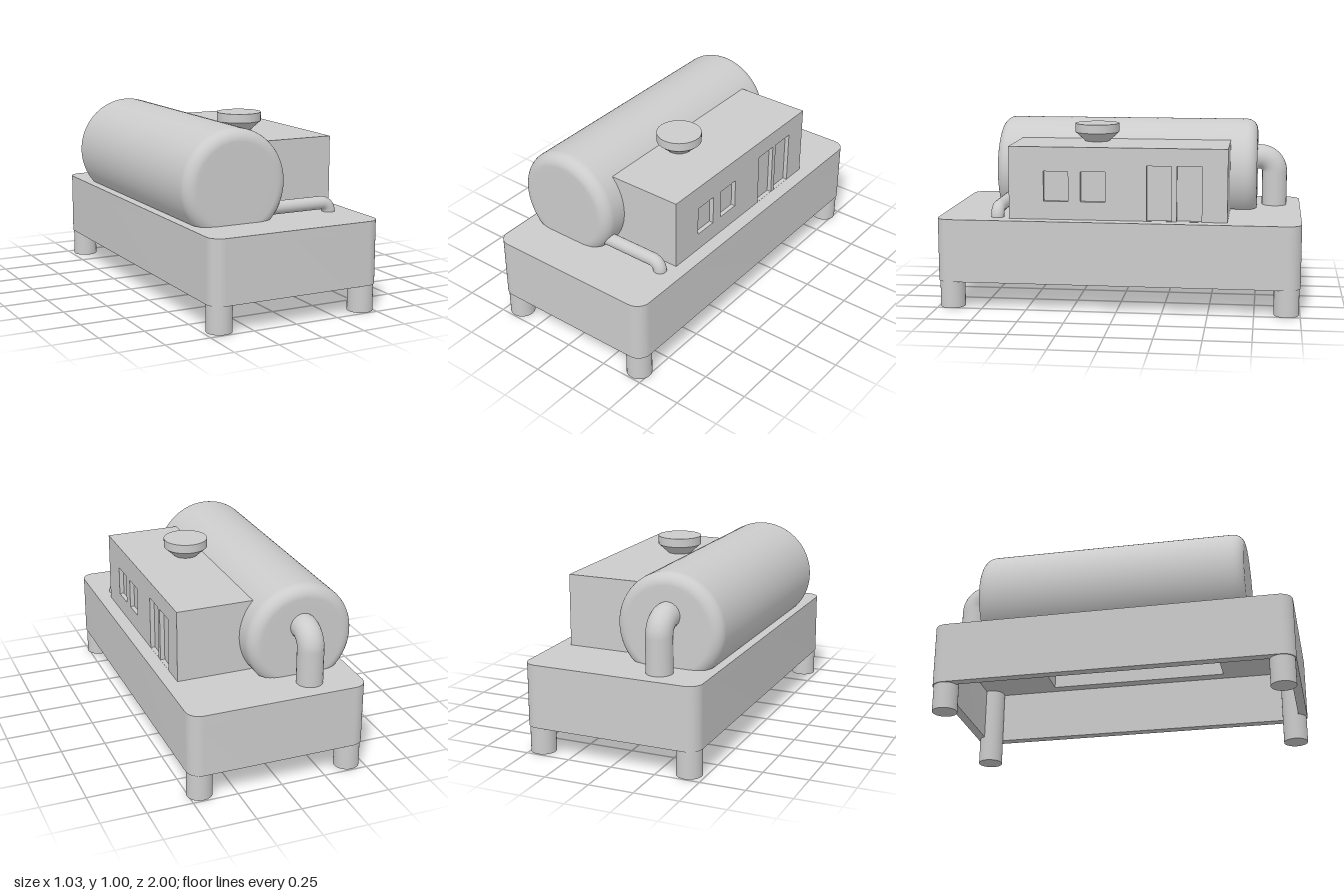
import * as THREE from 'three';
import { toCreasedNormals } from 'three/addons/utils/BufferGeometryUtils.js';

const grey = new THREE.MeshStandardMaterial({ color: 0xcccccc });
const greyThin = new THREE.MeshStandardMaterial({ color: 0xcccccc, side: THREE.DoubleSide });

const DECK = 0.5, CEILING = 0.45, SKIRT = 0.15;
const house = { x0: 0.01, x1: 0.437, z: 0.6, top: 0.9 };
const tank = { x: -0.213, y: 0.7, r: 0.3, fillet: 0.065, half: 0.75 };
const shaft = { x0: -0.434, x1: 0.397, z: 0.52, top: 0.85, bore: 0.22, boreEnd: 0.7 };

function add(parent, name, geometry, x = 0, y = 0, z = 0, material = grey) {
  const mesh = new THREE.Mesh(geometry, material);
  mesh.name = name;
  mesh.position.set(x, y, z);
  parent.add(mesh);
  return mesh;
}

const points2 = (list) => list.map(([a, b]) => new THREE.Vector2(a, b));

function roundedRect(x0, x1, z, r, Kind) {
  const s = new Kind();
  s.absarc(x1 - r, z - r, r, 0, Math.PI / 2);
  s.absarc(x0 + r, z - r, r, Math.PI / 2, Math.PI);
  s.absarc(x0 + r, -z + r, r, Math.PI, Math.PI * 1.5);
  s.absarc(x1 - r, -z + r, r, Math.PI * 1.5, Math.PI * 2);
  s.closePath();
  return s;
}

// Upright prism from a plan outline
function prism(shape, height) {
  const g = new THREE.ExtrudeGeometry(shape, { depth: height, bevelEnabled: false, curveSegments: 10 });
  g.rotateX(-Math.PI / 2);
  return toCreasedNormals(g, 0.6);
}

// Horizontal tank, trimmed at deck level and where it opens into the house
function tankGeometry() {
  const { r, fillet: f, half } = tank, end = [];
  for (let i = 0; i < 6; i++) end.push([(r - f) * i / 6, half]);
  for (let i = 0; i <= 8; i++) {
    const a = Math.PI / 2 * (1 - i / 8);
    end.push([r - f + f * Math.cos(a), half - f + f * Math.sin(a)]);
  }
  end.push([r, house.z]);
  const profile = points2([...end.map(([a, b]) => [a, -b]), ...end.reverse()]);
  const g = new THREE.LatheGeometry(profile, 96);
  g.rotateX(Math.PI / 2);
  g.translate(tank.x, tank.y, 0);

  const p = g.attributes.position, kept = [], idx = g.index.array;
  for (let i = 0; i < idx.length; i += 3) {
    const t = [idx[i], idx[i + 1], idx[i + 2]];
    const mean = (axis) => t.reduce((sum, v) => sum + p.getComponent(v, axis), 0) / 3;
    const below = t.every((v) => p.getY(v) <= DECK);
    const inHouse = mean(0) > house.x0 - 0.01 && mean(1) < house.top && Math.abs(mean(2)) < house.z;
    if (!below && !inHouse) kept.push(...t);
  }
  for (let i = 0; i < p.count; i++) p.setY(i, Math.max(p.getY(i), DECK));
  g.setIndex(kept);
  return g;
}

// Pipe with a single bend between two straight runs
function pipe(a, corner, b, bend, radius) {
  const [p, c, q] = [a, corner, b].map((v) => new THREE.Vector3(...v));
  const towards = (to) => c.clone().add(to.clone().sub(c).setLength(bend));
  const path = new THREE.CurvePath();
  const s = towards(p), e = towards(q), k = 0.55;
  path.add(new THREE.LineCurve3(p, s));
  path.add(new THREE.CubicBezierCurve3(s, s.clone().lerp(c, k), e.clone().lerp(c, k), e));
  path.add(new THREE.LineCurve3(e, q));
  return new THREE.TubeGeometry(path, 64, radius, 24);
}

function buildBase(root) {
  const base = new THREE.Group();
  base.name = 'base';
  root.add(base);

  // Skirt wall, open underneath
  const wall = roundedRect(-0.487, 0.513, 1, 0.075, THREE.Shape);
  wall.holes.push(roundedRect(shaft.x0, 0.46, 0.95, 0.025, THREE.Path));
  add(base, 'skirt', prism(wall, CEILING - SKIRT), 0, SKIRT, 0);

  // Deck with a rectangular opening up into the tank and house
  const deck = roundedRect(-0.487, 0.513, 1, 0.075, THREE.Shape);
  const { x0, x1, z } = shaft;
  deck.holes.push(new THREE.Path(points2([[x0, -z], [x0, z], [x1, z], [x1, -z]])));
  add(base, 'deck', prism(deck, DECK - CEILING), 0, CEILING, 0);

  const legHeight = CEILING + 0.01;
  for (const x of [-0.413, 0.439]) {
    for (const z of [-0.925, 0.925]) {
      add(base, 'leg', new THREE.CylinderGeometry(0.069, 0.069, legHeight, 32), x, legHeight / 2, z);
    }
  }
}

// Hollow interior seen from underneath: a box crossed by the round tank bore
function buildInterior(root) {
  const g = new THREE.Group();
  g.name = 'interior';
  root.add(g);
  const { x0, x1, z, top, bore, boreEnd } = shaft;
  const rise = top - tank.y - 0.002, a = Math.asin(rise / bore), halfGap = Math.sqrt(bore * bore - rise * rise);

  const end = new THREE.Shape(points2([[x0, DECK], [x1, DECK], [x1, top], [x0, top]]));
  const hole = new THREE.Path();
  hole.absarc(tank.x, tank.y, bore, Math.PI - a, Math.PI * 2 + a);
  hole.closePath();
  end.holes.push(hole);
  const depth = boreEnd - z;
  for (const s of [-1, 1]) {
    add(g, 'interiorEndWall', new THREE.ShapeGeometry(end, 48), 0, 0, s * z, greyThin);
    const tube = new THREE.CylinderGeometry(bore, bore, depth, 64, 1, true).rotateX(Math.PI / 2);
    add(g, 'tankBore', tube, tank.x, tank.y, s * (z + depth / 2), greyThin);
    add(g, 'tankBoreEnd', new THREE.CircleGeometry(bore, 64), tank.x, tank.y, s * boreEnd, greyThin);
  }

  // Top of the bore between the end walls
  const arc = Math.PI / 2 - a;
  const crown = new THREE.CylinderGeometry(bore, bore, 2 * z, 24, 1, true, Math.PI - arc, 2 * arc);
  add(g, 'tankBoreCrown', crown.rotateX(Math.PI / 2), tank.x, tank.y, 0, greyThin);

  const side = new THREE.PlaneGeometry(2 * z, top - DECK).rotateY(Math.PI / 2);
  add(g, 'interiorSideWall', side, x0, (DECK + top) / 2, 0);
  for (const [l, r] of [[x0, tank.x - halfGap], [tank.x + halfGap, x1]]) {
    const ceiling = new THREE.PlaneGeometry(r - l, 2 * z).rotateX(Math.PI / 2);
    add(g, 'interiorCeiling', ceiling, (l + r) / 2, top, 0);
  }
}

function buildHouse(root) {
  const g = new THREE.Group();
  g.name = 'house';
  root.add(g);
  const { x0, x1, z, top } = house, t = 0.025;
  const width = x1 - x0, height = top - DECK, midX = (x0 + x1) / 2, midY = (DECK + top) / 2;

  for (const s of [-1, 1]) {
    add(g, 'endWall', new THREE.BoxGeometry(width - t, height, t), midX - t / 2, midY, s * (z - t / 2));
  }
  add(g, 'roof', new THREE.BoxGeometry(width - t, t, 2 * z - 2 * t), midX - t / 2, top - t / 2, 0);

  // Side wall with two windows and two doors; the outline runs along -z
  const wall = new THREE.Shape(points2([[-z, DECK], [z, DECK], [z, top], [-z, top]]));
  const w = 0.068;
  const openings = [[-0.339, 0.6, 0.766], [-0.135, 0.6, 0.766], [0.228, 0.501, 0.803], [0.393, 0.501, 0.803]];
  for (const [c, low, high] of openings) {
    wall.holes.push(new THREE.Path(points2([[c - w, low], [c - w, high], [c + w, high], [c + w, low]])));
  }
  const side = new THREE.ExtrudeGeometry(wall, { depth: t, bevelEnabled: false });
  side.rotateY(Math.PI / 2);
  add(g, 'sideWall', side, x1 - t, 0, 0);
  const panel = x1 - t - shaft.x1;
  add(g, 'windowAndDoorPanel', new THREE.BoxGeometry(panel, height - t, 2 * z - 2 * t),
    shaft.x1 + panel / 2, midY - t / 2, 0);

  // Roof vent
  const vent = points2([[0, 0.89], [0.068, 0.89], [0.068, 0.9], [0.124, 0.951], [0.124, 1], [0, 1]]);
  add(g, 'roofVent', toCreasedNormals(new THREE.LatheGeometry(vent, 48), 0.5), 0.113, 0, 0.152);
}

export function createModel() {
  const root = new THREE.Group();
  root.name = 'tankStation';
  buildBase(root);
  buildHouse(root);
  buildInterior(root);
  add(root, 'tank', tankGeometry());
  add(root, 'frontPipe', pipe([-0.02, 0.55, 0.675], [0.387, 0.55, 0.675], [0.387, 0.47, 0.675], 0.05, 0.036));
  add(root, 'backPipe', pipe([tank.x, 0.78, -0.745], [tank.x, 0.78, -0.85], [tank.x, 0.47, -0.85], 0.085, 0.072));
  return root;
}
